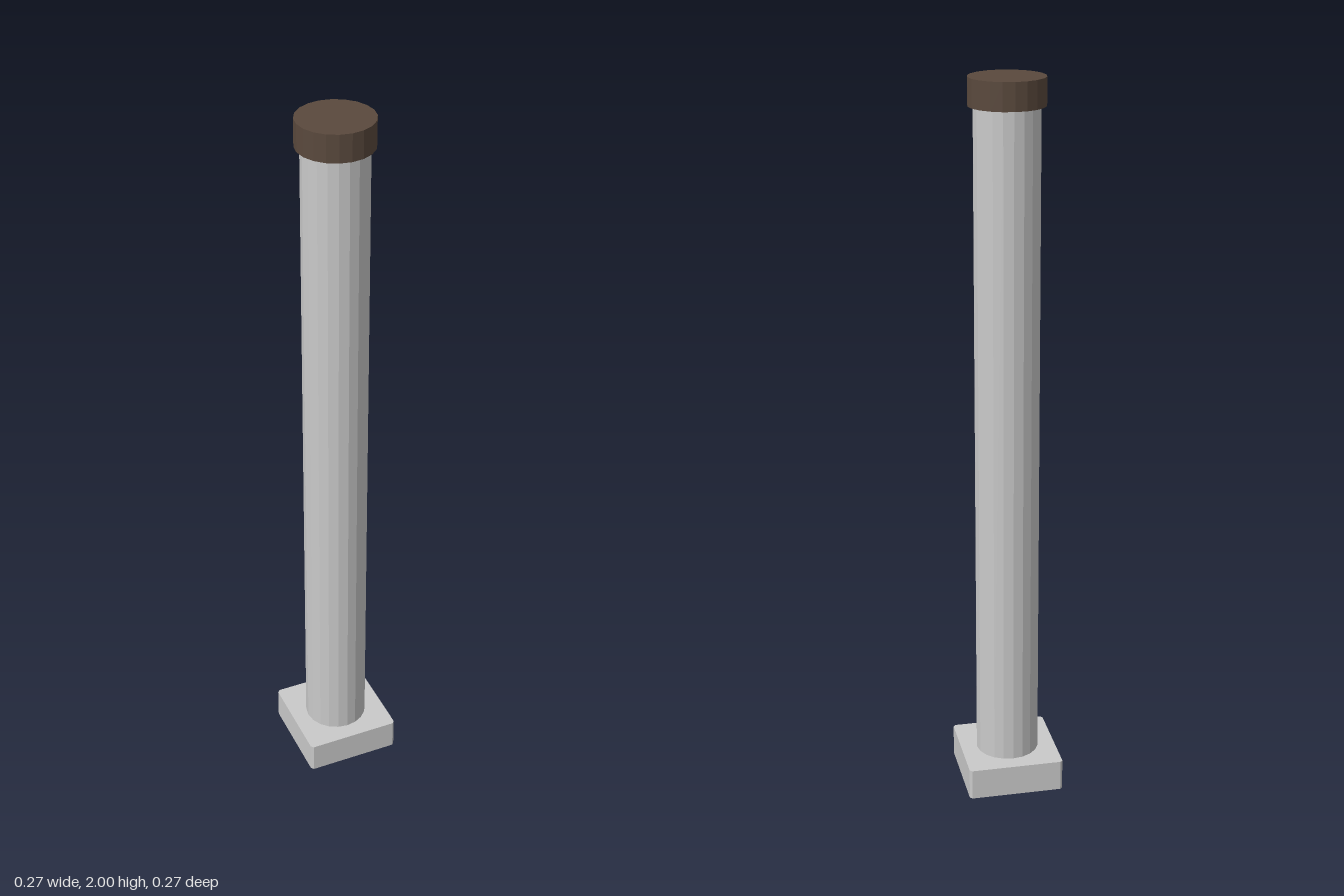
import * as THREE from 'three';

const SIDES = 20;

export function createModel() {
  const model = new THREE.Group();
  model.name = 'post';

  const paleGrey = new THREE.MeshStandardMaterial({ color: 0xcacaca });
  paleGrey.name = 'pale grey';
  const darkBrown = new THREE.MeshStandardMaterial({ color: 0x5a493d });
  darkBrown.name = 'dark brown';

  const add = (name, geometry, material, y) => {
    const mesh = new THREE.Mesh(geometry, material);
    mesh.name = name;
    mesh.position.y = y;
    model.add(mesh);
  };

  // Faceted upright cylinder between two heights
  const addCylinder = (name, radius, bottom, top, material) => {
    const geometry = new THREE.CylinderGeometry(radius, radius, top - bottom, SIDES).toNonIndexed();
    geometry.computeVertexNormals();
    add(name, geometry, material, (bottom + top) / 2);
  };

  // Square plinth with slightly clipped vertical corners
  const h = 0.134, c = 0.007, height = 0.088;
  const outline = new THREE.Shape([
    [h, c - h], [h, h - c], [h - c, h], [c - h, h],
    [-h, h - c], [-h, c - h], [c - h, -h], [h - c, -h],
  ].map(([x, y]) => new THREE.Vector2(x, y)));
  const plinth = new THREE.ExtrudeGeometry(outline, { depth: height, bevelEnabled: false });
  plinth.rotateX(-Math.PI / 2);
  add('basePlinth', plinth, paleGrey, 0);

  // Shaft and overhanging cap
  addCylinder('shaft', 0.088, height, 1.926, paleGrey);
  addCylinder('cap', 0.102, 1.926, 2, darkBrown);

  return model;
}
